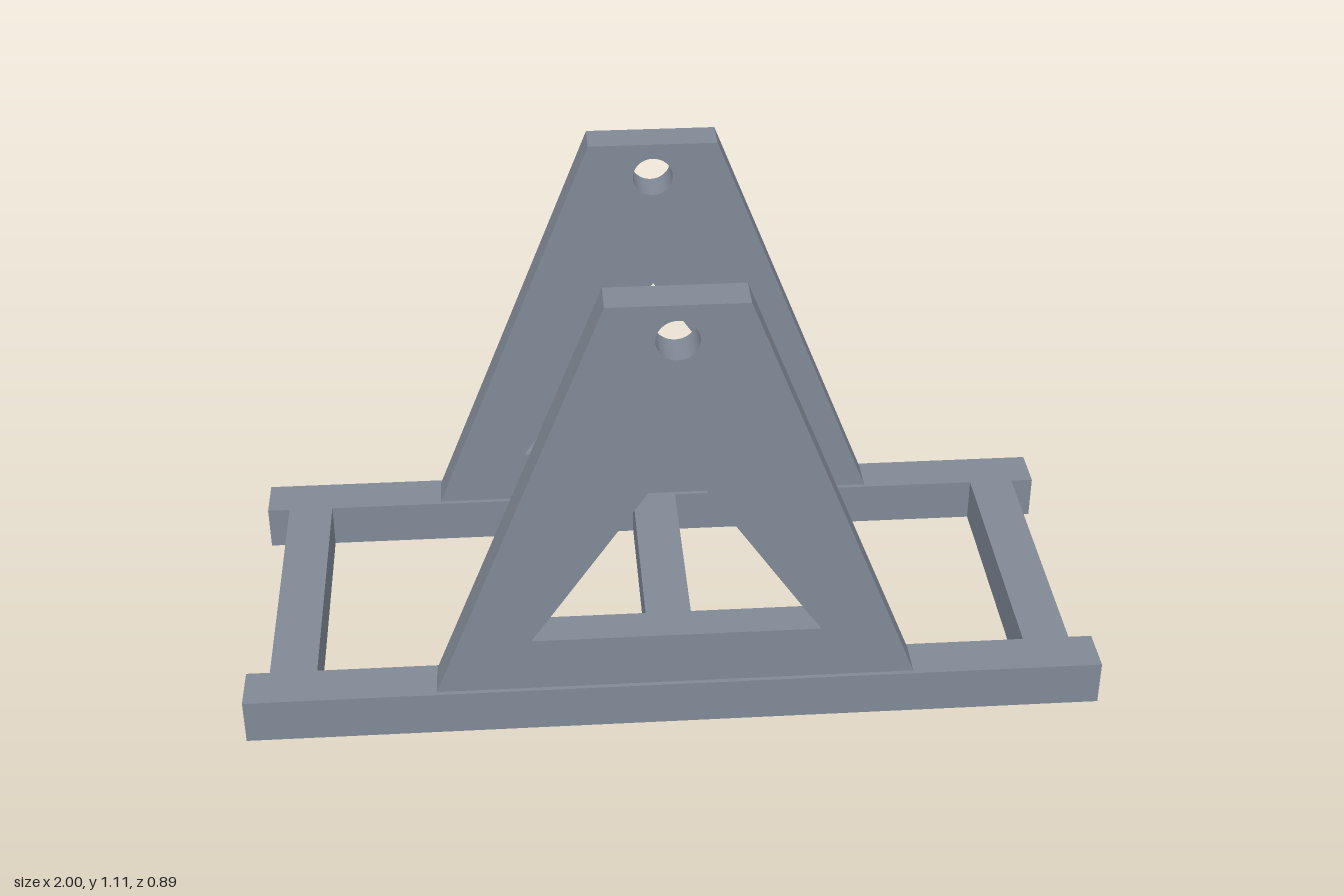
import * as THREE from 'three';

const RAIL = 0.11; // square bar thickness
const PLATE = 0.088;

export function createModel() {
  const model = new THREE.Group();
  model.name = 'supportStand';

  const steel = new THREE.MeshStandardMaterial({ color: 0x808996 });
  steel.name = 'blue grey steel';

  const add = (name, geometry, x, y, z) => {
    const mesh = new THREE.Mesh(geometry, steel);
    mesh.name = name;
    mesh.position.set(x, y, z);
    model.add(mesh);
  };

  // Tapered upright with a triangular window and a round pivot hole
  const outline = new THREE.Shape([
    new THREE.Vector2(-0.555, RAIL),
    new THREE.Vector2(0.555, RAIL),
    new THREE.Vector2(0.155, 1.11),
    new THREE.Vector2(-0.155, 1.11),
  ]);
  const triangle = new THREE.Path([
    new THREE.Vector2(-0.333, 0.245),
    new THREE.Vector2(0, 0.735),
    new THREE.Vector2(0.333, 0.245),
  ]);
  const pivot = new THREE.Path().absarc(0, 1.025, 0.048, 0, Math.PI * 2, true);
  outline.holes.push(triangle, pivot);
  const plate = new THREE.ExtrudeGeometry(outline, {
    depth: PLATE, bevelEnabled: false, curveSegments: 32,
  });
  plate.translate(0, 0, -PLATE / 2);

  // Long rails, each carrying an upright
  const rail = new THREE.BoxGeometry(2, RAIL, RAIL);
  for (const [side, s] of [['front', 1], ['back', -1]]) {
    add(side + 'Rail', rail, 0, RAIL / 2, s * 0.39);
    add(side + 'Upright', plate, 0, 0, s * 0.39);
  }

  // Cross bars between the rails
  const crossBar = new THREE.BoxGeometry(RAIL, RAIL, 0.67);
  for (const [side, x] of [['right', -0.89], ['middle', 0], ['left', 0.89]]) {
    add(side + 'CrossBar', crossBar, x, RAIL / 2, 0);
  }

  return model;
}
